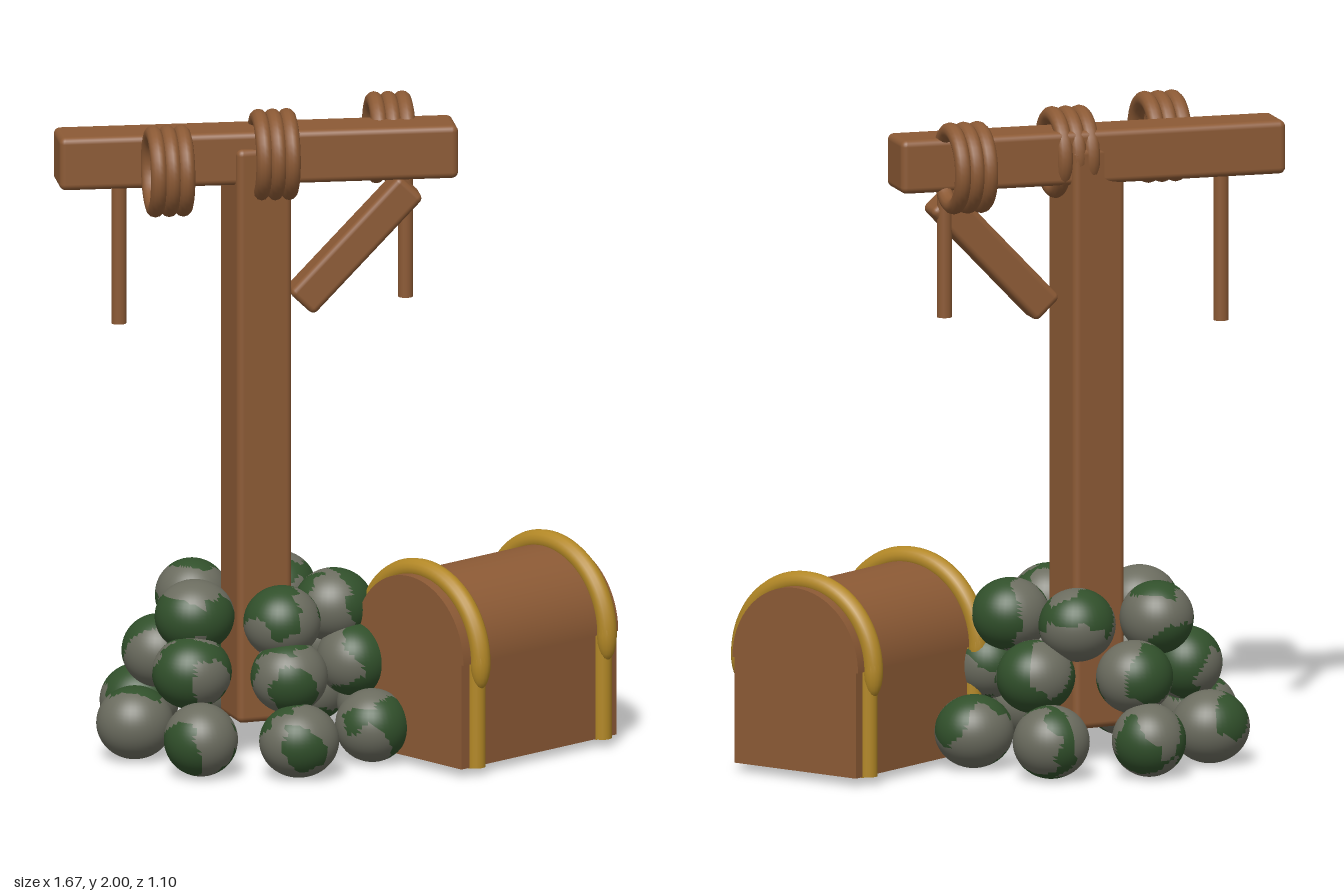
import * as THREE from 'three';
import { RoundedBoxGeometry } from 'three/addons/geometries/RoundedBoxGeometry.js';

function flat(name, color) {
  const m = new THREE.MeshStandardMaterial({ color });
  m.name = name;
  return m;
}

function add(parent, name, geometry, material, x = 0, y = 0, z = 0) {
  const mesh = new THREE.Mesh(geometry, material);
  mesh.name = name;
  mesh.position.set(x, y, z);
  parent.add(mesh);
  return mesh;
}

function group(parent, name, x = 0, y = 0, z = 0, turn = 0) {
  const g = new THREE.Group();
  g.name = name;
  g.position.set(x, y, z);
  g.rotation.y = turn;
  parent.add(g);
  return g;
}

// Sphere whose faces are sorted into bare stone (group 0) and moss (group 1)
function mossyStone(rx, ry, rz, seed, outward, bias) {
  const geo = new THREE.SphereGeometry(1, 40, 28);
  const pos = geo.attributes.position, index = geo.index.array;
  const sets = [[], []];
  const c = new THREE.Vector3(), v = new THREE.Vector3();
  for (let i = 0; i < index.length; i += 3) {
    c.set(0, 0, 0);
    for (let k = 0; k < 3; k++) c.add(v.fromBufferAttribute(pos, index[i + k]));
    c.normalize();
    const noise = Math.sin(3.1 * c.x + seed * 2.3) + Math.sin(2.7 * c.y + seed * 1.7 + c.x)
      + Math.sin(3.3 * c.z + seed * 3.1 - c.y) + 0.25 * Math.sin(9 * c.x + 7 * c.y - 8 * c.z + seed);
    sets[noise + 0.8 * c.dot(outward) > bias ? 1 : 0].push(index[i], index[i + 1], index[i + 2]);
  }
  geo.setIndex([...sets[0], ...sets[1]]);
  geo.addGroup(0, sets[0].length, 0);
  geo.addGroup(sets[0].length, sets[1].length, 1);
  geo.scale(rx, ry, rz);
  return geo;
}

export function createModel() {
  const model = new THREE.Group();
  model.name = 'hoistAndChest';
  const wood = flat('wood', 0x8c5a35);
  const gold = flat('gold', 0xb38826);
  const stone = flat('stone', 0x6b6c5f);
  const moss = flat('moss', 0x31502b);
  const px = -0.222, pz = -0.036;

  // Upright post
  add(model, 'post', new RoundedBoxGeometry(0.175, 1.79, 0.175, 3, 0.02), wood, px, 0.995, pz);

  // Crossbeam with its brace, turned together
  const top = group(model, 'crossbeamAssembly', px, 0, pz, -0.21);
  add(top, 'crossbeam', new RoundedBoxGeometry(1.22, 0.165, 0.165, 3, 0.02), wood, 0, 1.858, 0);
  const brace = add(top, 'brace', new RoundedBoxGeometry(0.49, 0.105, 0.105, 3, 0.018), wood, 0.302, 1.568, 0);
  brace.rotation.z = 0.81;

  // Rope coils, three rings each
  for (const [u, v] of [[-0.296, 0.205], [0.049, 0.038], [0.426, -0.138]]) {
    const coil = group(top, 'ropeCoil', u, 1.86, v);
    for (const i of [-1, 0, 1]) {
      const ring = new THREE.TorusGeometry(0.115, 0.025, 12, 40).rotateY(Math.PI / 2);
      add(coil, 'ropeRing', ring, wood, i * 0.043);
    }
  }

  // Loose rope ends hanging from the beam
  for (const [u, low] of [[-0.414, 1.33], [0.463, 1.385]]) {
    const len = 1.86 - low;
    add(top, 'hangingRope', new THREE.CylinderGeometry(0.023, 0.023, len, 16), wood, u, low + len / 2, -0.04);
  }

  // Three rings of mossy stones piled around the post
  const pile = group(model, 'stonePile', px, 0, pz);
  let seed = 1;
  for (const [count, radius, y, size, bias] of [
    [8, 0.39, 0.12, 0.115, 0.9], [6, 0.3, 0.3, 0.115, 0.05], [5, 0.235, 0.455, 0.115, 0.3]]) {
    for (let i = 0; i < count; i++, seed++) {
      const a = Math.PI / 2 + (i * 2 * Math.PI) / count;
      const out = new THREE.Vector3(Math.cos(a), 0.5, Math.sin(a)).normalize();
      const wide = size * (1.02 + 0.05 * Math.sin(seed * 2.1));
      add(pile, 'stone', mossyStone(wide, 0.112, size, seed, out, bias), [stone, moss],
        radius * Math.cos(a), y, radius * Math.sin(a));
    }
  }

  // Chest: box body and barrel lid
  const chest = group(model, 'chest', 0.44, 0, 0.19, 0.42);
  add(chest, 'chestBody', new THREE.BoxGeometry(0.65, 0.325, 0.46), wood, 0, 0.1875, 0);
  const lid = new THREE.CylinderGeometry(0.238, 0.238, 0.65, 48, 1, false, 0, Math.PI).rotateZ(Math.PI / 2);
  add(chest, 'chestLid', lid, wood, 0, 0.35, 0);

  // Gold bands around the chest
  for (const s of [-0.265, 0.265]) {
    const band = group(chest, 'chestBand', s, 0, 0);
    add(band, 'bandArch', new THREE.TorusGeometry(0.25, 0.031, 14, 40, Math.PI).rotateY(Math.PI / 2), gold, 0, 0.35, 0);
    for (const side of [-1, 1]) {
      add(band, 'bandUpright', new THREE.CylinderGeometry(0.028, 0.028, 0.34, 16), gold, 0, 0.195, side * 0.232);
      const tip = add(band, 'bandTip', new THREE.SphereGeometry(0.031, 16, 12), gold, 0, 0.35, side * 0.25);
      tip.scale.y = 2.6;
    }
    add(band, 'bandUnderside', new THREE.BoxGeometry(0.05, 0.012, 0.46), gold, 0, 0.028, 0);
  }

  // Settle the pile on the ground
  pile.position.y = -0.008;
  return model;
}
